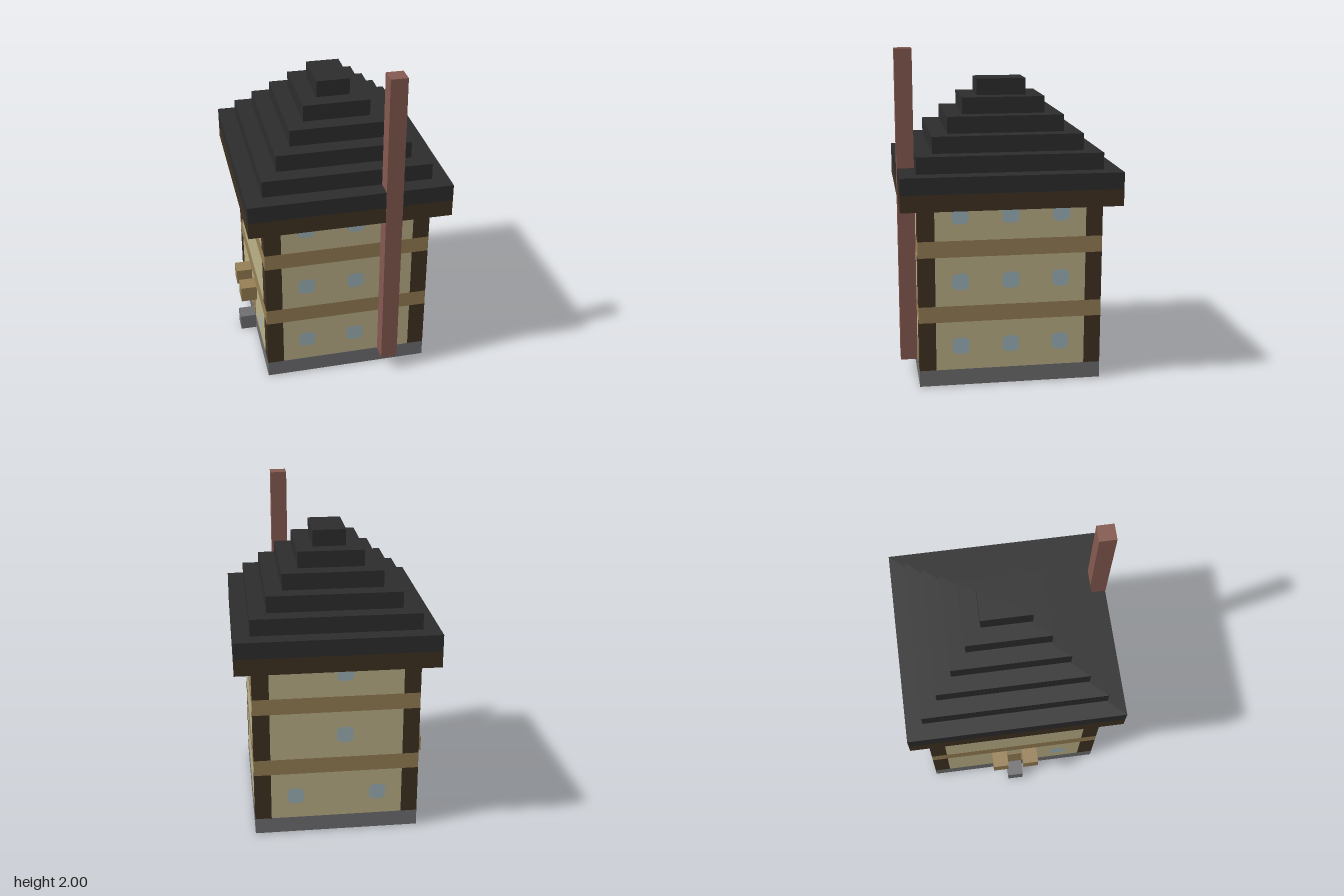
import * as THREE from 'three';

const mat = (name, color) => {
  const m = new THREE.MeshStandardMaterial({ color });
  m.name = name;
  return m;
};

export function createModel() {
  const stone = mat('stone', 0x6f6e70);
  const plaster = mat('plaster', 0xbbb188);
  const darkWood = mat('darkWood', 0x403222);
  const lightWood = mat('lightWood', 0x967f55);
  const slate = mat('slate', 0x2d2d2d);
  const brick = mat('brick', 0x855a50);
  const glass = mat('glass', 0x9db3b9);

  const root = new THREE.Group();
  root.name = 'towerHouse';

  // Box given by its minimum and maximum corners
  const box = (name, material, [x0, y0, z0], [x1, y1, z1]) => {
    const mesh = new THREE.Mesh(new THREE.BoxGeometry(x1 - x0, y1 - y0, z1 - z0), material);
    mesh.position.set((x0 + x1) / 2, (y0 + y1) / 2, (z0 + z1) / 2);
    mesh.name = name;
    root.add(mesh);
    return mesh;
  };

  // Foundation and walls
  box('foundation', stone, [-0.5, 0, -0.55], [0.5, 0.1, 0.55]);
  box('walls', plaster, [-0.499, 0.1, -0.549], [0.499, 1.1, 0.549]);

  // Corner posts, split between the floor bands
  for (const sx of [-1, 1]) for (const sz of [-1, 1])
    for (const [y0, y1] of [[0.1, 0.4], [0.5, 0.8], [0.9, 1.1]]) {
      const post = box('cornerPost', darkWood, [-0.05, y0, -0.05], [0.05, y1, 0.05]);
      post.position.x = sx * 0.45;
      post.position.z = sz * 0.5;
    }

  // Floor bands
  for (const y of [0.4, 0.8]) box('floorBand', lightWood, [-0.5, y, -0.55], [0.5, y + 0.1, 0.55]);

  // Eave and stepped roof
  box('eave', darkWood, [-0.6, 1.1, -0.65], [0.6, 1.2, 0.65]);
  for (let i = 0; i < 6; i++) {
    const x = 0.6 - i * 0.1, y = 1.2 + i * 0.1;
    box('roofStep', slate, [-x, y, -x - 0.05], [x, y + 0.1, x + 0.05]);
  }

  // Chimney
  box('chimney', brick, [0.2, 0.1, 0.55], [0.3, 2, 0.652]);

  // Doorstep, door and the two brackets beside it
  box('doorstep', stone, [-0.6, 0, -0.05], [-0.5, 0.1, 0.05]);
  box('door', lightWood, [-0.502, 0.1, -0.05], [-0.498, 0.3, 0.05]);
  for (const z of [-0.15, 0.05]) box('doorBracket', lightWood, [-0.6, 0.3, z], [-0.5, 0.4, z + 0.1]);

  // Underside of the floor, with a hearth stone
  box('floorUnderside', lightWood, [-0.4, -0.002, -0.45], [0.4, 0.002, 0.45]);
  box('hearthUnderside', stone, [0.2, -0.004, 0.25], [0.3, 0, 0.35]);

  // Windows: panes with clipped corners, placed by wall
  const h = 0.05, c = 0.03;
  const pane = new THREE.ShapeGeometry(new THREE.Shape([
    [-h, -c], [-c, -h], [c, -h], [h, -c], [h, c], [c, h], [-c, h], [-h, c],
  ].map(([x, y]) => new THREE.Vector2(x, y))));
  const addWindow = (x, y, z, turn) => {
    const mesh = new THREE.Mesh(pane, glass);
    mesh.position.set(x, y, z);
    mesh.rotation.y = turn;
    mesh.name = 'window';
    root.add(mesh);
  };
  const out = 0.003;
  for (const y of [0.25, 0.65, 1.05]) {
    for (const x of [-0.25, 0.05]) addWindow(x, y, 0.55 + out, 0);
    for (const z of [-0.3, 0, 0.3]) addWindow(0.5 + out, y, z, Math.PI / 2);
  }
  for (const [x, y] of [[0.25, 0.25], [-0.25, 0.25], [-0.05, 0.65], [-0.05, 1.05]])
    addWindow(x, y, -0.55 - out, Math.PI);
  addWindow(-0.5 - out, 0.25, 0.3, -Math.PI / 2);

  return root;
}
